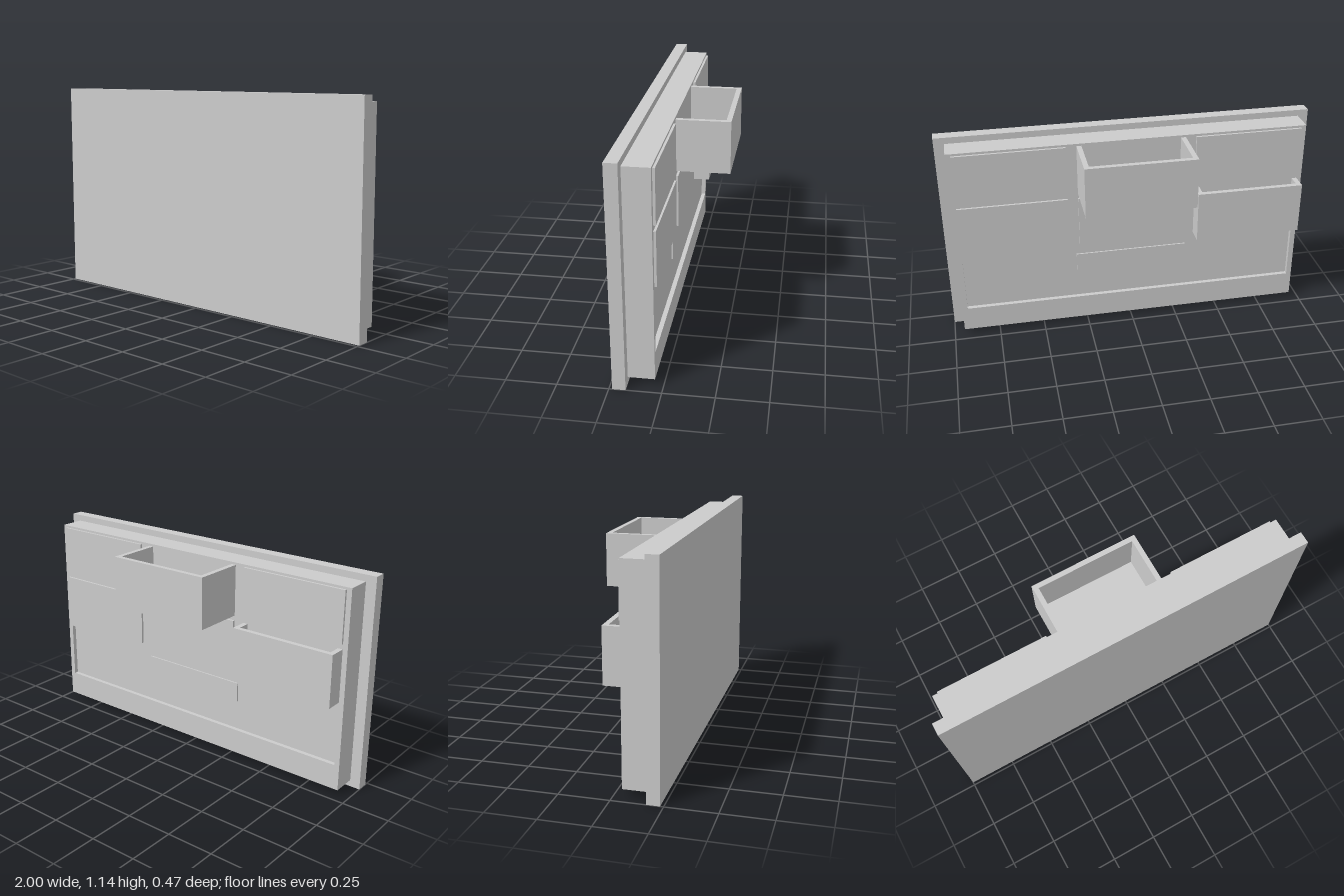
import * as THREE from 'three';

const material = new THREE.MeshStandardMaterial({ color: 0xcccccc, flatShading: true });

// Box given by its limits on each axis
function block(name, x0, x1, y0, y1, z0, z1) {
  const mesh = new THREE.Mesh(new THREE.BoxGeometry(x1 - x0, y1 - y0, z1 - z0), material);
  mesh.position.set((x0 + x1) / 2, (y0 + y1) / 2, (z0 + z1) / 2);
  mesh.name = name;
  return mesh;
}

function rectangle(Type, x0, x1, y0, y1) {
  return new Type([[x0, y0], [x1, y0], [x1, y1], [x0, y1]].map(([x, y]) => new THREE.Vector2(x, y)));
}

const BACK = 0.04;    // rear plane of the cabinet
const FLOOR = 0.063;  // floor of the long recess
const WALL = 0.026;

// Pulled-out drawer, open at the top
function openDrawer(x0, x1, y0, y1, zEnd) {
  const drawer = new THREE.Group();
  drawer.name = 'openDrawer';
  drawer.add(
    block('drawerFace', x0, x1, y0, y1, zEnd, zEnd + WALL),
    block('drawerSide', x0, x0 + WALL, y0, y1, zEnd + WALL, BACK),
    block('drawerSide', x1 - WALL, x1, y0, y1, zEnd + WALL, BACK),
    block('drawerBottom', x0 + WALL, x1 - WALL, y0, y0 + WALL, zEnd + WALL, BACK)
  );
  return drawer;
}

export function createModel() {
  const model = new THREE.Group();
  model.name = 'drawerCabinet';

  // Broad plate and cabinet body
  model.add(block('topPlate', -1, 1, 0, 1.136, 0.17, 0.234));
  model.add(block('cabinetBody', -0.945, 0.945, 0.035, 1.102, FLOOR, 0.17));

  // Rear frame leaving the long recess open
  const outline = rectangle(THREE.Shape, -0.945, 0.945, 0.035, 1.102);
  outline.holes.push(rectangle(THREE.Path, -0.917, 0.917, 0.17, 0.482));
  const frame = new THREE.Mesh(
    new THREE.ExtrudeGeometry(outline, { depth: FLOOR - BACK, bevelEnabled: false }), material);
  frame.position.z = BACK;
  frame.name = 'rearFrame';
  model.add(frame);

  // Raised strip in the long recess
  model.add(block('handleStrip', -0.303, 0.303, 0.331, 0.437, 0.055, FLOOR));

  // Two rows of three drawers; two of them are pulled out
  const columns = [[-0.918, -0.343], [-0.287, 0.287], [0.343, 0.918]];
  const rows = [[0.82, 1.09], [0.515, 0.793]];
  const pulledOut = { '0,1': -0.234, '1,0': -0.052 };
  rows.forEach(([y0, y1], r) => columns.forEach(([x0, x1], c) => {
    const zEnd = pulledOut[`${r},${c}`];
    model.add(zEnd === undefined
      ? block('closedDrawer', x0, x1, y0, y1, 0.028, BACK)
      : openDrawer(x0, x1, y0, y1, zEnd));
  }));

  return model;
}
